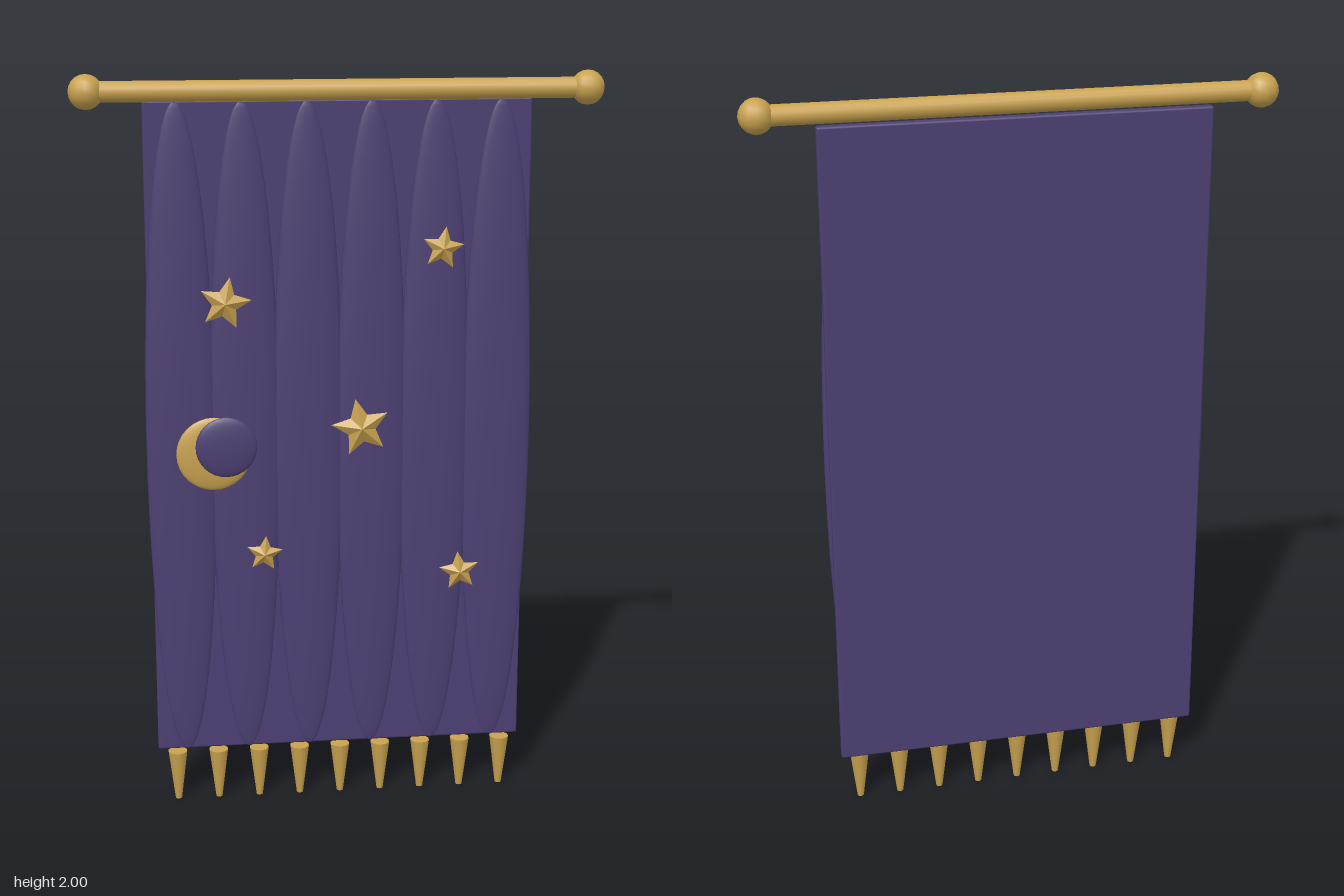
import * as THREE from 'three';
import { RoundedBoxGeometry } from 'three/addons/geometries/RoundedBoxGeometry.js';

export function createModel() {
  const banner = new THREE.Group();
  banner.name = 'banner';
  const gold = new THREE.MeshStandardMaterial({ color: 0xc9a24f });
  gold.name = 'gold';
  const purple = new THREE.MeshStandardMaterial({ color: 0x4b3f72 });
  purple.name = 'purple cloth';

  const add = (name, geometry, material, x, y, z) => {
    const mesh = new THREE.Mesh(geometry, material);
    mesh.name = name;
    mesh.position.set(x, y, z);
    banner.add(mesh);
    return mesh;
  };

  // Hanging rod with a ball at each end
  const rod = add('rod', new THREE.CylinderGeometry(0.027, 0.027, 1.29, 16), gold, 0, 1.955, 0);
  rod.rotation.z = Math.PI / 2;
  for (const side of [-1, 1]) {
    add('rodBall', new THREE.SphereGeometry(0.045, 12, 10), gold, side * 0.647, 1.955, 0);
  }

  // Cloth backing
  add('cloth', new RoundedBoxGeometry(1.014, 1.785, 0.027, 2, 0.006), purple, 0, 1.0375, -0.0315);

  // Six long soft folds across the front
  for (let i = 0; i < 6; i++) {
    const fold = add('fold', new THREE.SphereGeometry(1, 24, 32), purple, (i - 2.5) * 0.17, 1.0375, -0.012);
    fold.scale.set(0.093, 0.89, 0.018);
  }

  // Fringe of nine tapered tassels
  for (let i = 0; i < 9; i++) {
    add('tassel', new THREE.CylinderGeometry(0.027, 0.009, 0.142, 10), gold, (i - 4) * 0.1135, 0.071, -0.012);
  }

  // Five-pointed star, ridged towards the middle on both sides
  const starGeometry = (radius, depth) => {
    const rim = i => {
      const r = i % 2 ? radius * 0.48 : radius;
      const a = Math.PI / 2 + (i * Math.PI) / 5;
      return [r * Math.cos(a), r * Math.sin(a), 0];
    };
    const points = [];
    for (let i = 0; i < 10; i++) {
      points.push(...rim(i), ...rim(i + 1), 0, 0, depth);
      points.push(...rim(i + 1), ...rim(i), 0, 0, -depth);
    }
    const geometry = new THREE.BufferGeometry();
    geometry.setAttribute('position', new THREE.Float32BufferAttribute(points, 3));
    geometry.computeVertexNormals();
    return geometry;
  };
  // x, y, radius, tilt
  const stars = [
    [-0.305, 1.408, 0.071, -0.2],
    [0.27, 1.543, 0.058, -0.15],
    [0.055, 1.063, 0.081, 0.2],
    [-0.208, 0.718, 0.051, -0.1],
    [0.327, 0.648, 0.057, 0.1],
  ];
  for (const [x, y, radius, tilt] of stars) {
    add('star', starGeometry(radius, 0.01 + radius * 0.12), gold, x, y, 0.015).rotation.z = tilt;
  }

  // Crescent moon: a gold disc partly covered by a cloth disc
  add('moon', new THREE.SphereGeometry(1, 32, 16), gold, -0.34, 1.0, 0.006).scale.set(0.1, 0.1, 0.016);
  add('moonCover', new THREE.SphereGeometry(1, 32, 16), purple, -0.307, 1.021, 0.02).scale.set(0.082, 0.082, 0.014);

  return banner;
}
